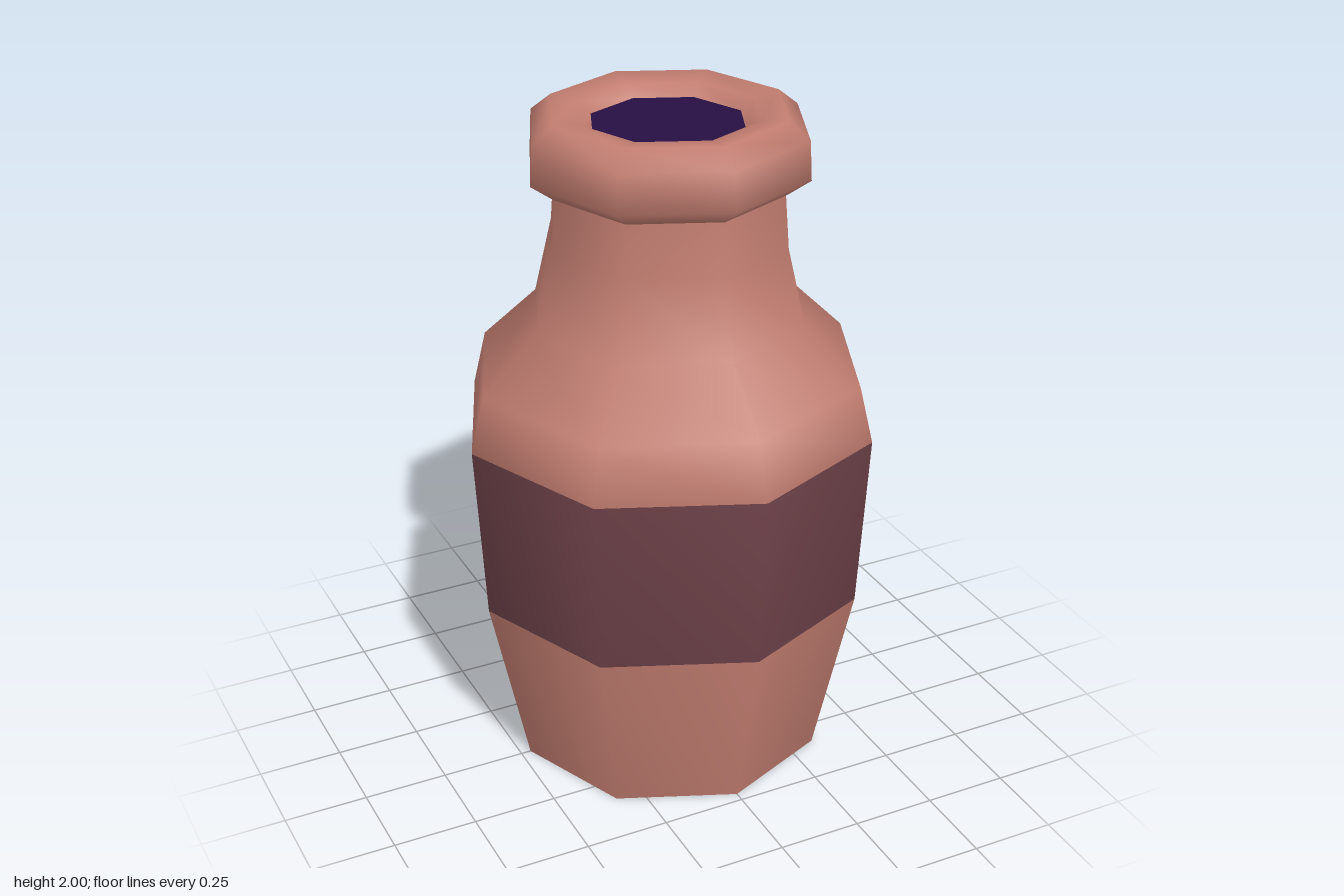
import * as THREE from 'three';

const SIDES = 8;
const clay = new THREE.MeshStandardMaterial({ color: 0xc27d70 });
clay.name = 'clay';
const paintedBand = new THREE.MeshStandardMaterial({ color: 0x6e4249 });
paintedBand.name = 'paintedBand';
const darkInside = new THREE.MeshStandardMaterial({ color: 0x271045 });
darkInside.name = 'darkInside';

function turn(profile) {
  return new THREE.LatheGeometry(profile.map(([r, y]) => new THREE.Vector2(r, y)), SIDES);
}

function addMesh(group, name, geometry, material) {
  const mesh = new THREE.Mesh(geometry, material);
  mesh.name = name;
  group.add(mesh);
  return mesh;
}

export function createModel() {
  const jar = new THREE.Group();
  jar.name = 'jar';

  // Body and neck in one smooth surface; the second profile step is the band
  const profile = [
    [0.47, 0], [0.585, 0.54], [0.615, 1.07], [0.575, 1.235],
    [0.408, 1.4], [0.353, 1.63], [0.34, 1.8],
  ];
  const body = turn(profile);
  const steps = profile.length - 1;
  for (let side = 0; side < SIDES; side++) {
    const start = side * steps * 6;
    body.addGroup(start, 6, 0);
    body.addGroup(start + 6, 6, 1);
    body.addGroup(start + 12, (steps - 2) * 6, 0);
  }
  addMesh(jar, 'body', body, [clay, paintedBand]);

  // Thick rolled rim, dipping into the mouth
  addMesh(jar, 'rim', turn([
    [0.33, 1.788], [0.345, 1.788], [0.412, 1.837], [0.406, 1.95],
    [0.345, 2], [0.265, 1.99], [0.225, 1.955],
  ]), clay);

  // Dark mouth and flat base
  const mouth = addMesh(jar, 'mouth', new THREE.CircleGeometry(0.226, SIDES), darkInside);
  mouth.rotation.x = -Math.PI / 2;
  mouth.position.y = 1.956;
  const base = addMesh(jar, 'base', new THREE.CircleGeometry(0.47, SIDES), clay);
  base.rotation.x = Math.PI / 2;

  return jar;
}
